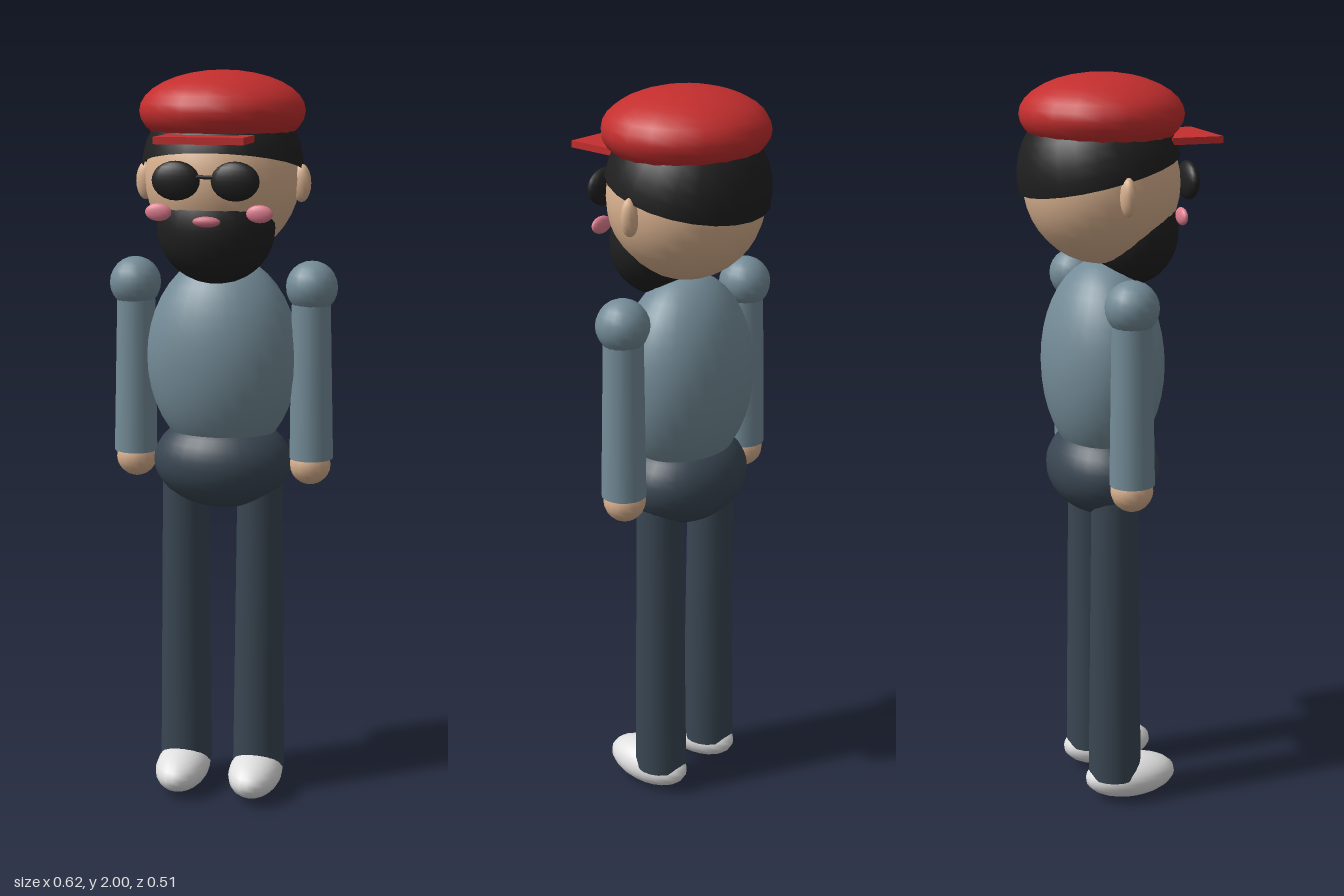
import * as THREE from 'three';

const mat = (name, color, side = THREE.FrontSide) => {
  const m = new THREE.MeshStandardMaterial({ color, side });
  m.name = name;
  return m;
};

export function createModel() {
  const skin = mat('skin', 0xd9b18f);
  const shirt = mat('shirt blue grey', 0x748c98);
  const trousers = mat('trouser slate', 0x394652);
  const white = mat('shoe white', 0xe0e0e0);
  const black = mat('black', 0x202020, THREE.DoubleSide);
  const red = mat('cap red', 0xc42e2e);
  const pink = mat('cheek pink', 0xe27f92);
  const lip = mat('lip pink', 0xcf6f80);

  const model = new THREE.Group();
  model.name = 'figure';
  const Z = -0.036; // body axis

  const add = (name, geometry, material, x, y, z) => {
    const mesh = new THREE.Mesh(geometry, material);
    mesh.name = name;
    mesh.position.set(x, y, z);
    model.add(mesh);
    return mesh;
  };
  // Ellipsoid given by its centre and radii
  const ball = (name, material, [x, y, z], [rx, ry, rz], w = 20, h = 16) =>
    add(name, new THREE.SphereGeometry(1, w, h).scale(rx, ry, rz), material, x, y, z);

  // Trunk
  ball('torso', shirt, [0, 1.24, Z], [0.207, 0.28, 0.161], 28, 20);
  ball('hips', trousers, [0, 0.955, Z], [0.19, 0.13, 0.15], 28, 20);

  // Head and hair
  ball('head', skin, [0, 1.72, Z], [0.205, 0.21, 0.205], 28, 20);
  const hair = add('hair',
    new THREE.SphereGeometry(0.215, 24, 10, 0, Math.PI * 2, 0, Math.PI / 2),
    black, 0, 1.745, -0.042);
  hair.rotation.x = -0.24;
  ball('beard', black, [0, 1.598, 0.045], [0.157, 0.148, 0.12], 24, 18);
  ball('mouth', lip, [0, 1.623, 0.163], [0.037, 0.014, 0.012], 12, 8);

  // Cap with a flat peak
  ball('cap', red, [0, 1.895, Z], [0.22, 0.105, 0.213]);
  add('capPeak', new THREE.BoxGeometry(0.23, 0.018, 0.14), red, 0, 1.831, 0.185);

  // Bridge of the sunglasses
  add('glassesBridge', new THREE.CylinderGeometry(0.005, 0.005, 0.06, 8).rotateZ(Math.PI / 2),
    black, 0, 1.737, 0.178);

  // Paired parts
  for (const [side, s] of [['left', 1], ['right', -1]]) {
    ball(side + 'Lens', black, [s * 0.077, 1.727, 0.173], [0.063, 0.05, 0.023], 16, 12);
    ball(side + 'Cheek', pink, [s * 0.133, 1.643, 0.136], [0.035, 0.023, 0.012], 14, 10);
    ball(side + 'Ear', skin, [s * 0.211, 1.71, Z], [0.026, 0.05, 0.021], 12, 10);

    ball(side + 'Shoulder', shirt, [s * 0.242, 1.437, Z], [0.07, 0.07, 0.07], 16, 12);
    const arm = add(side + 'Arm', new THREE.CylinderGeometry(0.051, 0.059, 0.47, 18),
      shirt, s * 0.243, 1.207, Z);
    arm.rotation.z = s * 0.012;
    ball(side + 'Hand', skin, [s * 0.243, 0.955, Z], [0.056, 0.056, 0.056], 16, 12);

    add(side + 'Leg', new THREE.CylinderGeometry(0.062, 0.073, 0.88, 20),
      trousers, s * 0.105, 0.515, Z);
    ball(side + 'Shoe', white, [s * 0.105, 0.064, 0.01], [0.074, 0.06, 0.13]);
  }

  // Stand on the ground
  model.children.forEach((m) => { m.position.y -= 0.002; });
  return model;
}
